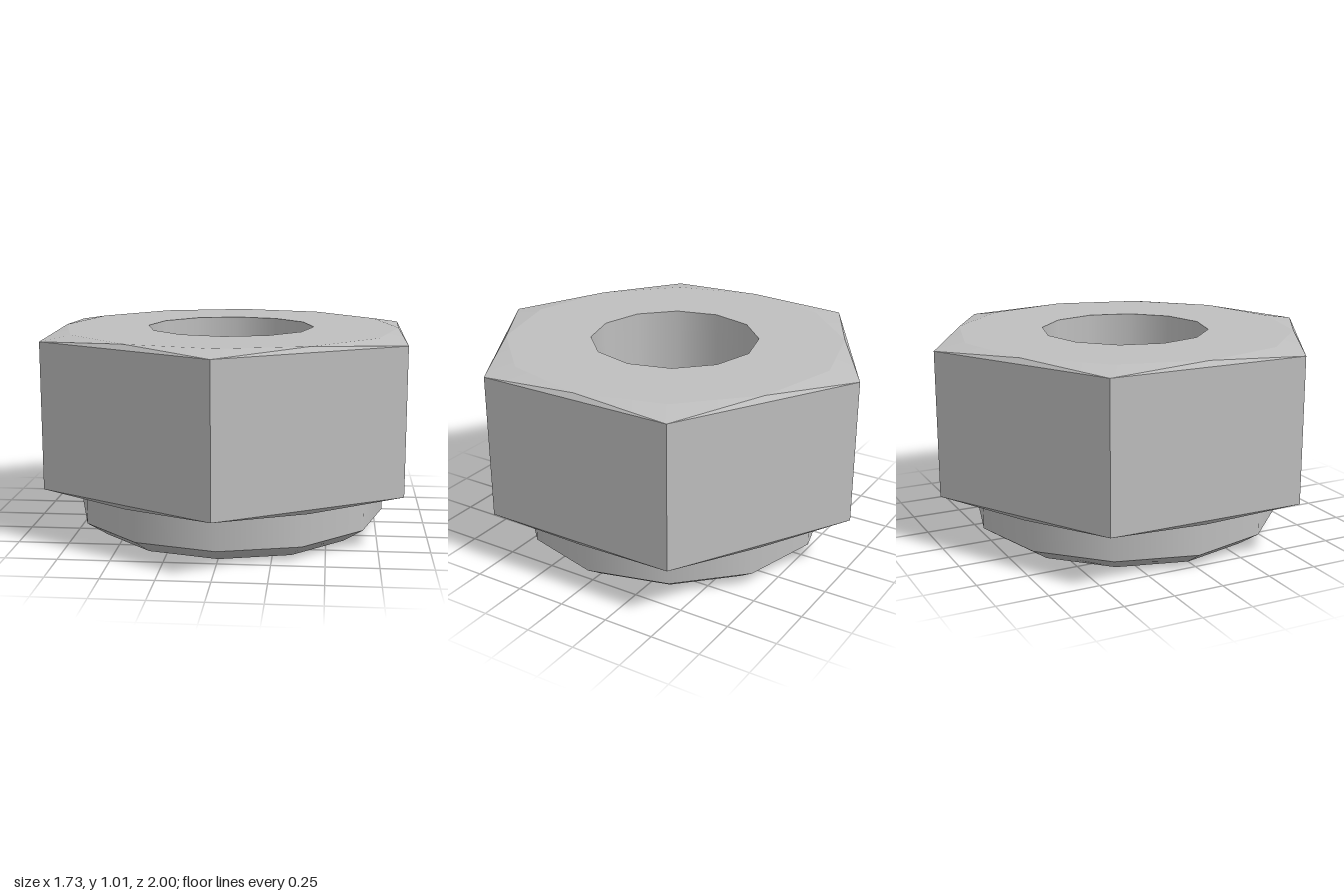
import * as THREE from 'three';
import { toCreasedNormals } from 'three/addons/utils/BufferGeometryUtils.js';

const steel = new THREE.MeshStandardMaterial({ color: 0xbfbfbf });
steel.name = 'steel';

const HEX_LOW = 0.27, HEX_HIGH = 0.99;
const LOW = 0.245, HIGH = 1.015;
const HEX_R = 1, RING_R = 0.846, COLLAR_R = 0.785, HOLE_R = 0.42;

export function createModel() {
  const group = new THREE.Group();
  group.name = 'lockNut';

  const add = (name, geometry) => {
    const mesh = new THREE.Mesh(geometry, steel);
    mesh.name = name;
    group.add(mesh);
    return mesh;
  };
  // Twelve-sided surface of revolution, smooth along its own profile
  const lathe = (name, profile) =>
    add(name, new THREE.LatheGeometry(profile.map(([r, y]) => new THREE.Vector2(r, y)), 12));

  // Six flat wrench faces
  const hex = new THREE.CylinderGeometry(HEX_R, HEX_R, HEX_HIGH - HEX_LOW, 6, 1, true);
  add('hexBody', toCreasedNormals(hex, 0.3)).position.y = (HEX_LOW + HEX_HIGH) / 2;

  // Chamfers bridge the hexagon to a twelve-sided ring
  add('topChamfer', chamfer(HEX_HIGH, HIGH, false));
  add('bottomChamfer', chamfer(HEX_LOW, LOW, true));

  // Flat faces above and below the hexagon
  lathe('topFace', [[RING_R, HIGH], [HOLE_R, HIGH]]);
  lathe('underside', [[COLLAR_R, LOW], [RING_R, LOW]]);

  // Collar wall, rounded lower lip and bore
  lathe('collar', [[COLLAR_R, 0.07], [COLLAR_R, LOW]]);
  lathe('collarLip', [[HOLE_R, 0.07], [0.525, 0], [0.68, 0], [COLLAR_R, 0.07]]);
  lathe('bore', [[HOLE_R, HIGH], [HOLE_R, 0.07]]);

  return group;
}

function chamfer(hexY, ringY, flip) {
  const at = (r, step, y) => {
    const a = step * Math.PI / 6;
    return new THREE.Vector3(Math.sin(a) * r, y, Math.cos(a) * r);
  };
  const corner = (k) => at(HEX_R, 2 * k, hexY);
  const ring = (j) => at(RING_R, j, ringY);
  const points = [];
  const tri = (a, b, c) => points.push(...(flip ? [a, c, b] : [a, b, c]));
  for (let k = 0; k < 6; k++) {
    tri(corner(k), ring(2 * k + 1), ring(2 * k));
    tri(corner(k), ring(2 * k), ring(2 * k - 1));
    tri(corner(k), corner(k + 1), ring(2 * k + 1));
  }
  const geometry = new THREE.BufferGeometry().setFromPoints(points);
  return toCreasedNormals(geometry, 0.5);
}
